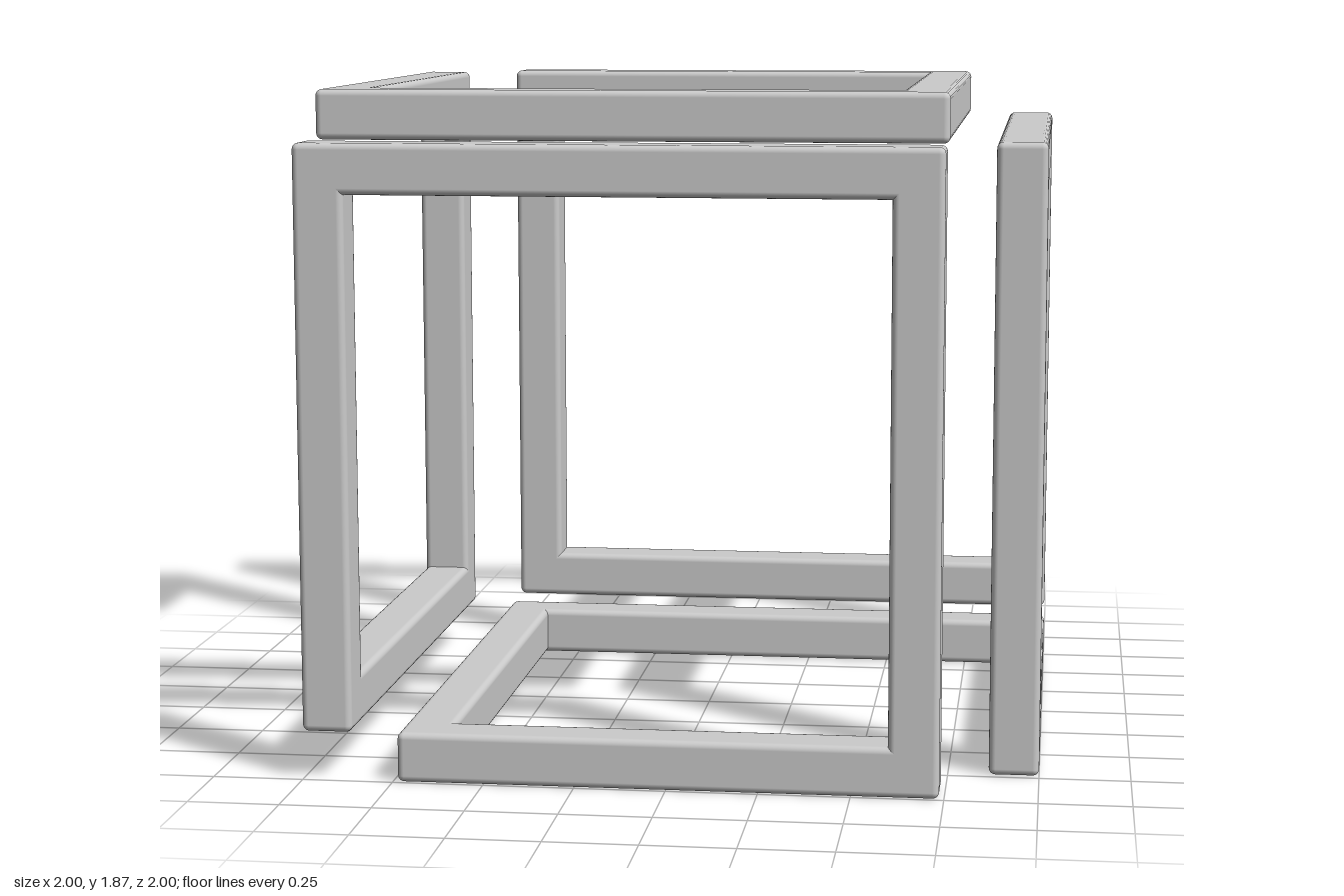
import * as THREE from 'three';
import { RoundedBoxGeometry } from 'three/addons/geometries/RoundedBoxGeometry.js';

const T = 0.138;              // bar thickness
const R = 0.018;              // edge rounding
const O = 0.931, I = 0.668;   // outer and inner centre lines in x and z
const Y = [0.069, 0.203, 1.669, 1.801]; // centre line heights

// Corners of one closed loop that wraps round all six sides of a cube
const corners = [
  [-O, Y[2], O], [I, Y[2], O], [I, Y[0], O],       // front
  [-I, Y[0], O], [-I, Y[0], -I], [O, Y[0], -I],    // bottom
  [O, Y[0], I], [O, Y[2], I], [O, Y[2], -O],       // left side
  [O, Y[1], -O], [-I, Y[1], -O], [-I, Y[3], -O],   // back
  [I, Y[3], -O], [I, Y[3], I], [-O, Y[3], I],      // top
  [-O, Y[3], -I], [-O, Y[1], -I], [-O, Y[1], O],   // right side
].map((p) => new THREE.Vector3(...p));

const sides = ['front', 'bottom', 'left', 'back', 'top', 'right'];

export function createModel() {
  const model = new THREE.Group();
  model.name = 'cubeLoop';
  const material = new THREE.MeshStandardMaterial({ color: 0xcccccc });

  // One rounded square bar between each pair of neighbouring corners
  corners.forEach((a, i) => {
    const b = corners[(i + 1) % corners.length];
    const size = b.clone().sub(a);
    const geometry = new RoundedBoxGeometry(
      Math.abs(size.x) + T, Math.abs(size.y) + T, Math.abs(size.z) + T, 3, R);
    const bar = new THREE.Mesh(geometry, material);
    bar.position.addVectors(a, b).multiplyScalar(0.5);
    bar.name = `${sides[Math.floor(i / 3)]}Bar${(i % 3) + 1}`;
    model.add(bar);
  });

  return model;
}
